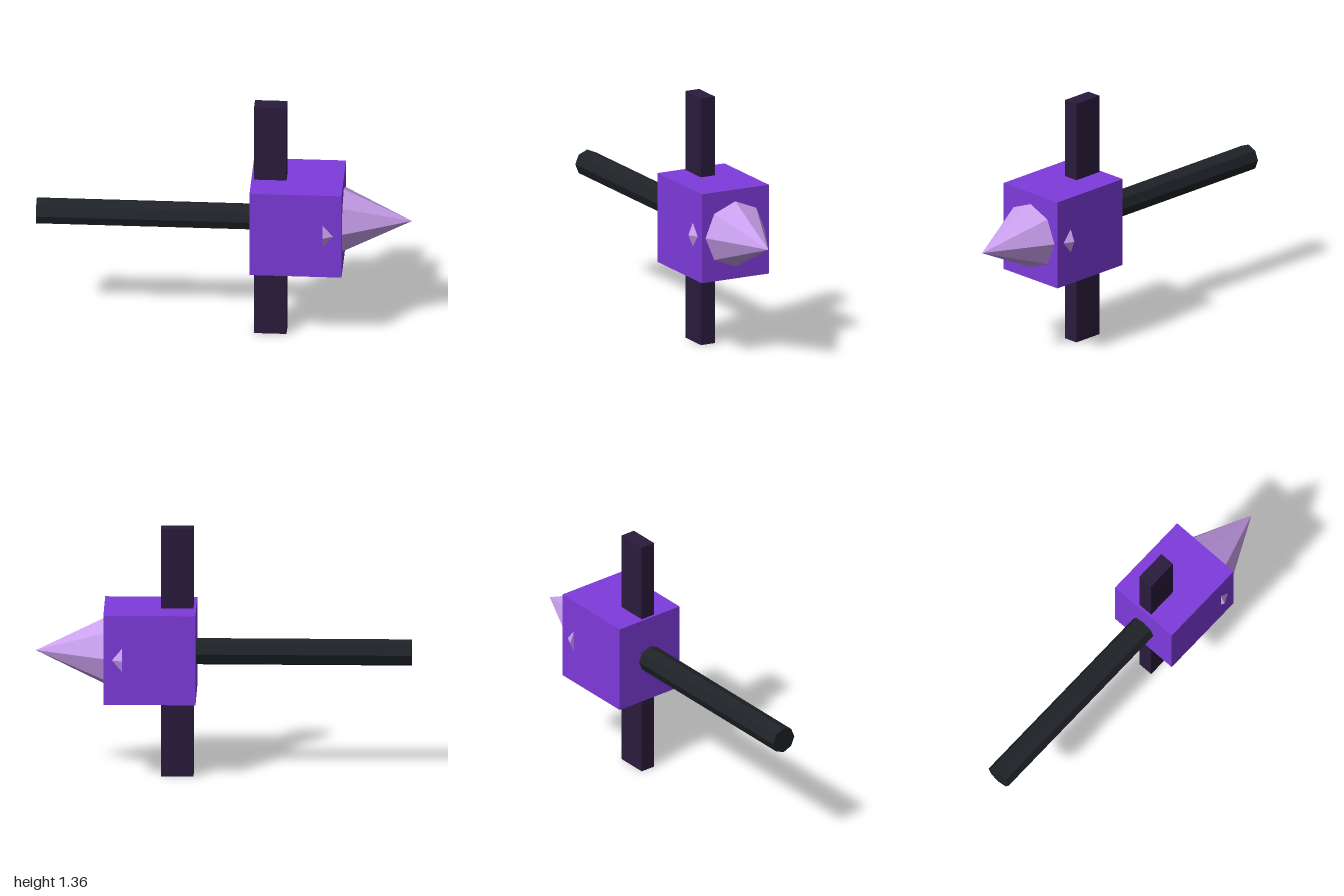
import * as THREE from 'three';

const AXIS_Y = 0.68; // height of the shaft and spike axis

function part(name, geometry, color, x) {
  const material = new THREE.MeshStandardMaterial({ color, flatShading: true });
  const mesh = new THREE.Mesh(geometry, material);
  mesh.name = name;
  mesh.position.set(x, AXIS_Y, 0);
  return mesh;
}

// Eight-sided cylinder or cone running along x
function octagonal(radiusTip, radiusBase, length) {
  return new THREE.CylinderGeometry(radiusTip, radiusBase, length, 8).rotateZ(-Math.PI / 2);
}

export function createModel() {
  const group = new THREE.Group();
  group.name = 'hammer';

  // Handle, ending inside the head
  group.add(part('handle', octagonal(0.072, 0.072, 1.2), 0x1f2328, -0.4));

  // Block-shaped head
  group.add(part('head', new THREE.BoxGeometry(0.49, 0.49, 0.406), 0x7e3bdc, 0.391));

  // Crossbar passing through the head
  group.add(part('crossbar', new THREE.BoxGeometry(0.173, 1.36, 0.084), 0x2a1b3d, 0.247));

  // Spike, its base corners poking through the sides of the head
  group.add(part('spike', octagonal(0, 0.23, 0.464), 0xc9a0ee, 0.768));

  return group;
}
